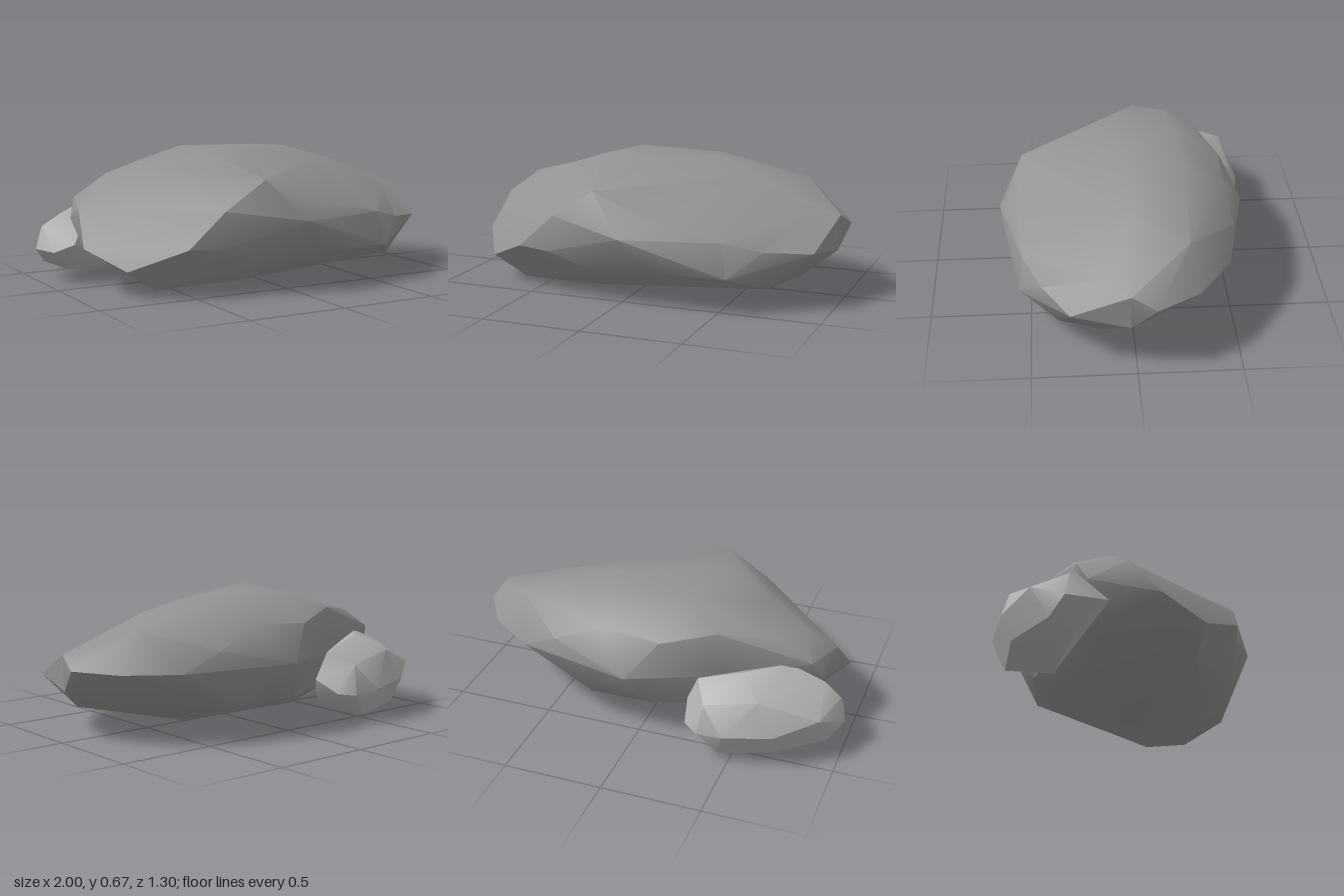
import * as THREE from 'three';
import { ConvexGeometry } from 'three/addons/geometries/ConvexGeometry.js';
import { toCreasedNormals } from 'three/addons/utils/BufferGeometryUtils.js';

// A weathered stone: its corners are swelled towards a sphere, wrapped in a hull,
// then put back in place, so that shallow hollows between ridges survive
function stone(name, color, coords) {
  const corners = coords.map((c) => new THREE.Vector3(...c));
  const box = new THREE.Box3().setFromPoints(corners);
  const centre = box.getCenter(new THREE.Vector3());
  const half = box.getSize(new THREE.Vector3()).multiplyScalar(0.5);
  const swelled = corners.map((c) => {
    const v = c.clone().sub(centre).divide(half);
    return v.setLength(v.length() ** 0.35);
  });
  const hull = new ConvexGeometry(swelled);
  const position = hull.attributes.position;
  const p = new THREE.Vector3();
  for (let i = 0; i < position.count; i++) {
    p.fromBufferAttribute(position, i);
    const k = swelled.findIndex((s) => s.distanceToSquared(p) < 1e-8);
    position.setXYZ(i, ...coords[k]);
  }
  const geometry = toCreasedNormals(hull, THREE.MathUtils.degToRad(40));
  const mesh = new THREE.Mesh(geometry, new THREE.MeshStandardMaterial({ color }));
  mesh.name = name;
  return mesh;
}

export function createModel() {
  const group = new THREE.Group();
  group.name = 'rocks';

  group.add(stone('largeRock', 0x929292, [
    // top ridge
    [-0.26, 0.665, 0.14], [0.04, 0.645, 0.02], [0.33, 0.645, -0.09], [0.52, 0.585, 0],
    [-0.2, 0.655, -0.25], [0.25, 0.64, -0.28], [0.73, 0.545, -0.26],
    [-0.53, 0.57, 0.03], [-0.74, 0.51, -0.09],
    // front shoulder
    [-0.14, 0.55, 0.53], [0.2, 0.42, 0.56], [0.52, 0.35, 0.53], [0.7, 0.3, 0.44],
    [0.04, 0.35, 0.65], [-0.36, 0.41, 0.53], [-0.55, 0.24, 0.52],
    // front lower edge
    [-0.39, 0.23, 0.54], [-0.14, 0.15, 0.53], [0.2, 0.18, 0.56], [0.55, 0.18, 0.555],
    [0.7, 0.1, 0.36],
    // +x end
    [0.82, 0.42, 0.14], [0.97, 0.42, 0.03], [1, 0.36, -0.09], [0.96, 0.24, 0.03],
    [0.91, 0.28, 0.31], [0.81, 0.125, 0.15], [0.87, 0.355, -0.3],
    // -x end
    [-0.92, 0.22, 0.14], [-0.88, 0.4, -0.02], [-0.79, 0.13, 0.35],
    [-0.81, 0.42, -0.25], [-0.85, 0.32, -0.2], [-0.75, 0.15, -0.15],
    // back crest
    [-0.62, 0.53, -0.27], [-0.37, 0.575, -0.39], [-0.11, 0.53, -0.5], [0.2, 0.55, -0.475],
    [0.44, 0.45, -0.51], [0.63, 0.355, -0.47], [0.04, 0.355, -0.6], [-0.4, 0.35, -0.4],
    // back lower edge and underside
    [0.27, 0.15, -0.46], [-0.07, 0.16, -0.47], [-0.35, 0.16, -0.36],
    [0.04, 0, 0.03], [0.34, 0.03, -0.08], [-0.62, 0.02, 0.31], [-0.2, 0.04, 0.38],
    [-0.3, 0.05, -0.2],
  ]));

  group.add(stone('smallRock', 0xb0b0b0, [
    // crown
    [-0.52, 0.42, -0.44], [-0.3, 0.36, -0.47], [-0.63, 0.35, -0.57], [-0.37, 0.3, -0.6],
    [-0.7, 0.41, -0.27], [-0.88, 0.34, -0.26],
    // sides
    [-1, 0.16, -0.3], [-0.97, 0.28, -0.28], [-0.91, 0.24, -0.46], [-0.72, 0.19, -0.6],
    [-0.48, 0.17, -0.655], [-0.35, 0.15, -0.635], [-0.27, 0.16, -0.58], [-0.24, 0.22, -0.45],
    [-0.96, 0.16, -0.15], [-0.87, 0.2, -0.1],
    // underside
    [-0.93, 0.08, -0.37], [-0.85, 0.05, -0.25], [-0.67, 0.02, -0.36], [-0.7, 0.07, -0.55],
    [-0.45, 0.03, -0.59], [-0.4, 0.04, -0.36], [-0.3, 0.1, -0.4],
  ]));

  return group;
}
